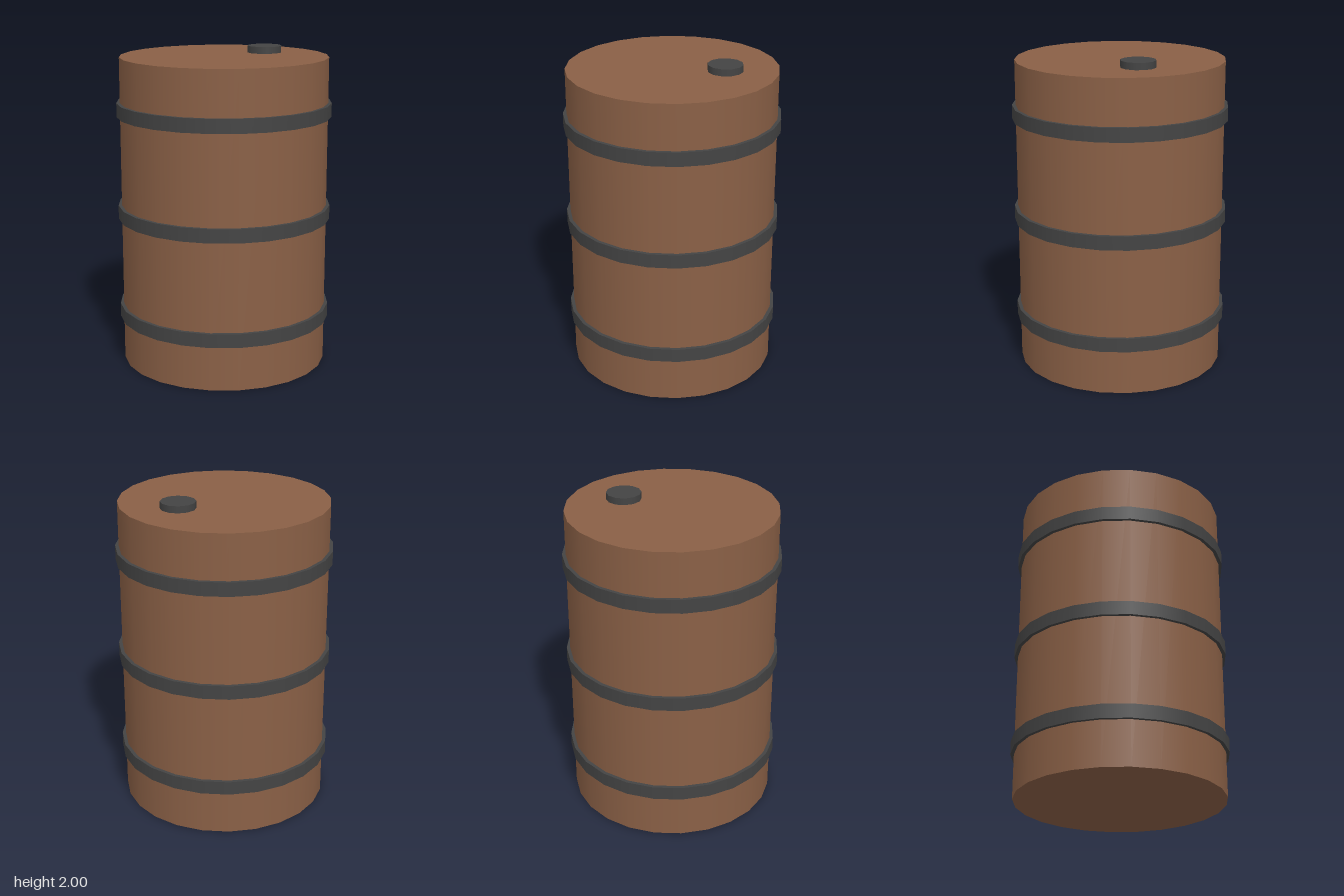
import * as THREE from 'three';

export function createModel() {
  const group = new THREE.Group();
  const brown = new THREE.MeshStandardMaterial({ color: 0x8a6046 });
  brown.name = 'brown';
  const darkGrey = new THREE.MeshStandardMaterial({ color: 0x444444 });
  darkGrey.name = 'dark grey';

  // Upright cylinder centred at the given position
  function addCylinder(name, radius, height, sides, material, x, y) {
    const mesh = new THREE.Mesh(new THREE.CylinderGeometry(radius, radius, height, sides), material);
    mesh.name = name;
    mesh.position.set(x, y, 0);
    group.add(mesh);
  }

  // Barrel body
  const bodyHeight = 1.957;
  addCylinder('body', 0.652, bodyHeight, 24, brown, 0, bodyHeight / 2);

  // Three evenly spaced hoops
  ['lowerHoop', 'middleHoop', 'upperHoop'].forEach((name, i) => {
    addCylinder(name, 0.674, 0.087, 24, darkGrey, 0, 0.326 + i * 0.652);
  });

  // Bung cap on the lid, off to the left
  addCylinder('bungCap', 0.109, 2 - bodyHeight, 12, darkGrey, 0.326, (2 + bodyHeight) / 2);

  return group;
}
